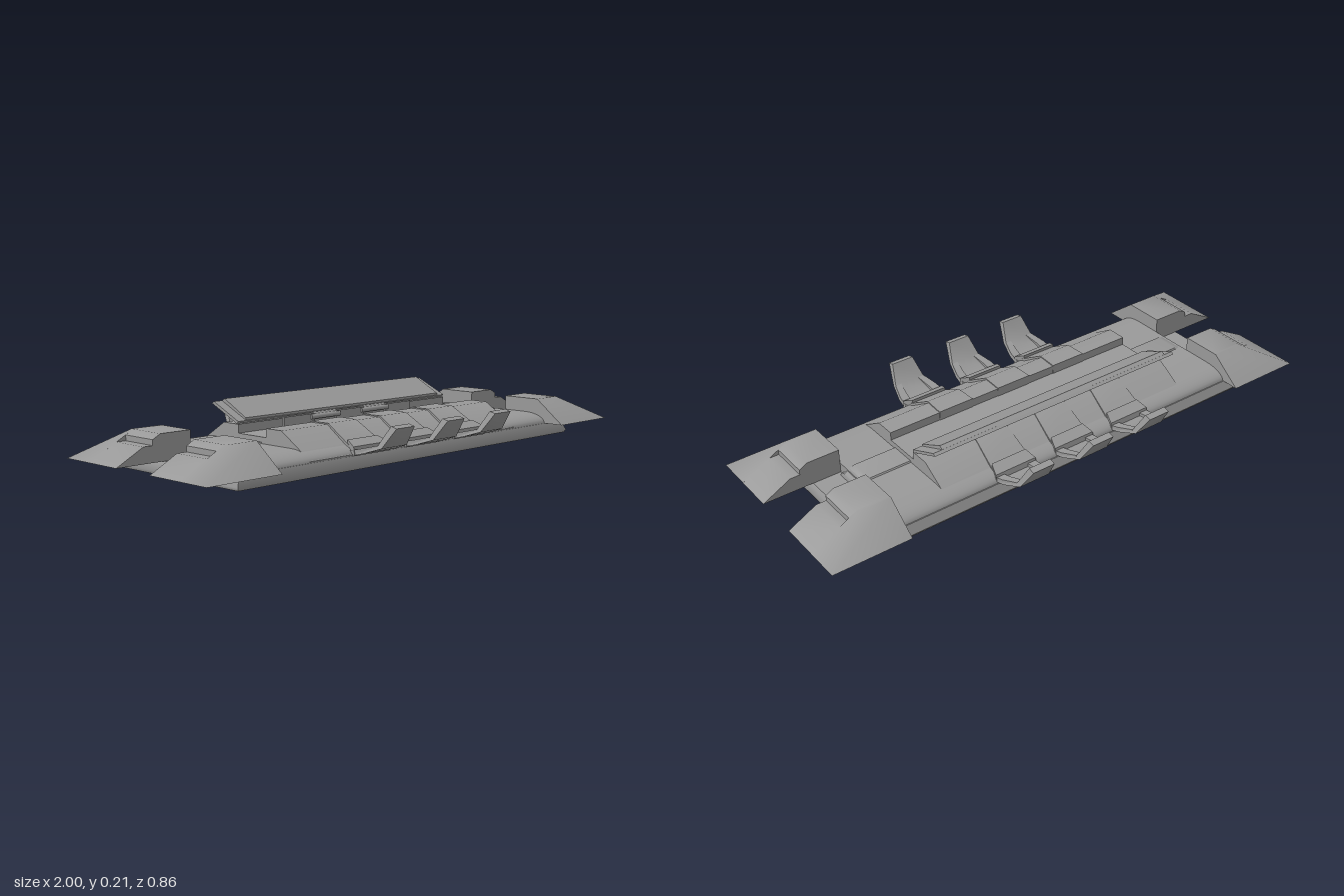
import * as THREE from 'three';
import { toCreasedNormals } from 'three/addons/utils/BufferGeometryUtils.js';

const material = new THREE.MeshStandardMaterial({ color: 0x999999 });

// Closed solid skinned over matching rings of points; winding is corrected by signed volume
function solid(name, rings) {
  const tris = [];
  const n = rings[0].length;
  for (let r = 0; r < rings.length - 1; r++) {
    for (let i = 0; i < n; i++) {
      const j = (i + 1) % n;
      const a = rings[r][i], b = rings[r][j], c = rings[r + 1][j], d = rings[r + 1][i];
      tris.push([a, b, c], [a, c, d]);
    }
  }
  const first = rings[0], last = rings[rings.length - 1];
  for (let i = 1; i < n - 1; i++) {
    tris.push([first[0], first[i + 1], first[i]], [last[0], last[i], last[i + 1]]);
  }
  let volume = 0;
  for (const [a, b, c] of tris) {
    volume += new THREE.Vector3(...a).dot(new THREE.Vector3(...b).cross(new THREE.Vector3(...c)));
  }
  const points = tris.flatMap(([a, b, c]) => (volume < 0 ? [a, c, b] : [a, b, c])).flat();
  const geometry = new THREE.BufferGeometry();
  geometry.setAttribute('position', new THREE.Float32BufferAttribute(points, 3));
  // Enlarged while creasing so that close vertices stay distinct
  geometry.scale(100, 100, 100);
  const mesh = new THREE.Mesh(toCreasedNormals(geometry, 0.92).scale(0.01, 0.01, 0.01), material);
  mesh.name = name;
  return mesh;
}

// [z, y] profile swept along x
const sweepX = (name, profile, x0, x1) =>
  solid(name, [x0, x1].map((x) => profile.map(([z, y]) => [x, y, z])));

// Stack of horizontal rectangles [y, x0, x1, z0, z1]
const stack = (name, levels) =>
  solid(name, levels.map(([y, x0, x1, z0, z1]) => [[x0, y, z0], [x1, y, z0], [x1, y, z1], [x0, y, z1]]));

// Run of cross-sections [half width, top z, top y, bottom z, bottom y] at a given x and side
const strip = (name, sections, x, place) =>
  solid(name, sections.map(([w, tz, ty, bz, by]) => [
    [x - w, ty, place(tz)], [x + w, ty, place(tz)], [x + w, by, place(bz)], [x - w, by, place(bz)],
  ]));

// Corner pod with sloping sides and a notch in its outer slope
function cornerPod(sx, sz) {
  const group = new THREE.Group();
  group.name = 'cornerPod';
  const put = (x, y, z) => [sx * x, y, sz * z];
  const notched = [[0.71, 0.045], [1, 0.045], [0.896, 0.1], [0.86, 0.1], [0.86, 0.119], [0.83, 0.135], [0.71, 0.135]];
  group.add(solid('notchedSlope', [0.085, 0.228].map((z) => notched.map(([x, y]) => put(x, y, z)))));
  group.add(solid('podEnd', [
    [put(0.71, 0.045, 0.228), put(1, 0.045, 0.228), put(1, 0.045, 0.354), put(0.71, 0.045, 0.354)],
    [put(0.71, 0.135, 0.228), put(0.83, 0.135, 0.228), put(0.83, 0.135, 0.238), put(0.71, 0.135, 0.238)],
  ]));
  return group;
}

// Rib on the body slope, foot plate and bent outrigger arm
function outrigger(x, place, lift) {
  const group = new THREE.Group();
  group.name = 'outrigger';
  group.add(strip('rib', [
    [0.07, 0.064, 0.138, 0.064, 0.05],
    [0.066, 0.145, 0.138, 0.14, 0.05],
    [0.074, 0.25, 0.077, 0.25, 0.045],
  ], x, place));
  group.add(strip('footPlate', [
    [0.07, 0.24, 0.094, 0.24, 0.046],
    [0.083, 0.28, 0.076, 0.285, 0.046],
  ], x, place));
  group.add(strip('arm', [
    [0.083, 0.26, 0.05, 0.26, 0.043],
    [0.078, 0.31, 0.062, 0.318, 0.057],
    [0.06, 0.366, 0.086, 0.382, 0.078],
    [0.043, 0.408, 0.152 + lift, 0.432, 0.146 + lift],
  ], x, place));
  // Rails framing the recess in the lower arm
  for (const s of [-1, 1]) {
    const rail = [[0.083, 0.26, 0.061, 0.045], [0.078, 0.31, 0.073, 0.056], [0.061, 0.366, 0.087, 0.075]];
    group.add(solid('armRail', rail.map(([w, z, top, low]) => [
      [x + s * w * 0.6, top, place(z)], [x + s * w, top, place(z)],
      [x + s * w, low, place(z)], [x + s * w * 0.6, low, place(z)],
    ])));
  }
  return group;
}

export function createModel() {
  const model = new THREE.Group();
  model.name = 'model';

  // Base slab with bevelled rim
  model.add(stack('base', [
    [0, -0.825, 0.825, -0.297, 0.283],
    [0.01, -0.83, 0.83, -0.303, 0.289],
    [0.045, -0.815, 0.815, -0.289, 0.276],
  ]));

  // Deck with rounded long edges
  const deck = [];
  for (let i = 0; i <= 17; i++) {
    const a = ((i % 9) / 8) * (Math.PI / 2) + (i < 9 ? 0 : Math.PI / 2);
    const side = i < 9 ? 1 : -1;
    deck.push([-0.006 + side * 0.19 + 0.09 * Math.cos(a), 0.044 + 0.038 * Math.sin(a)]);
  }
  model.add(sweepX('deck', deck, -0.71, 0.71));

  // Central trough floor
  model.add(sweepX('troughFloor', [[0.07, 0.045], [0.07, 0.104], [-0.078, 0.104], [-0.078, 0.045]], -0.52, 0.52));

  // Body walls with sloping flanks, ribs and arms, front and back
  const wall = [[0.066, 0.045], [0.066, 0.134], [0.14, 0.134], [0.275, 0.05], [0.275, 0.045]];
  for (const s of [1, -1]) {
    const place = (z) => (s > 0 ? z : -0.006 - z);
    const placeArm = (z) => s * z;
    model.add(sweepX('bodyWall', wall.map(([z, y]) => [place(z), y]), -0.52, 0.52));
    for (const x of [-0.25, 0, 0.25]) model.add(outrigger(x, placeArm, s > 0 ? 0 : 0.01));
  }

  for (const sx of [-1, 1]) {
    for (const sz of [-1, 1]) model.add(cornerPod(sx, sz));
    // Chamfered block at each end of the trough
    const block = [[0.5, 1, 0.087], [0.68, 1, 0.087], [0.705, 0.97, 0.081], [0.72, 0.93, 0.066]];
    model.add(solid('endBlock', block.map(([x, k, top]) => [
      [0.07, 0.045], [0.06, 0.06], [0.042 * k, top], [-0.053 * k, top], [-0.071, 0.06], [-0.08, 0.045],
    ].map(([z, y]) => [sx * x, y, z]))));
  }

  // Raised lid: wide plate with a narrower panel on top
  const lid = new THREE.Group();
  lid.name = 'lid';
  lid.add(sweepX('lidPlate', [[-0.072, 0.143], [-0.08, 0.135], [-0.207, 0.192], [-0.197, 0.199]], -0.52, 0.52));
  lid.add(sweepX('lidPanel', [[-0.074, 0.141], [-0.075, 0.152], [-0.183, 0.207], [-0.198, 0.198]], -0.485, 0.485));
  // Hinge knuckles and the leaves joining them to the lid
  for (const x of [-0.125, 0.125]) {
    const knuckle = new THREE.Mesh(new THREE.CylinderGeometry(0.009, 0.009, 0.14, 12).rotateZ(Math.PI / 2), material);
    knuckle.name = 'hingeKnuckle';
    knuckle.position.set(x, 0.127, -0.066);
    lid.add(knuckle);
    lid.add(sweepX('hingeLeaf', [[-0.064, 0.132], [-0.073, 0.124], [-0.086, 0.138], [-0.076, 0.145]], x - 0.06, x + 0.06));
  }
  model.add(lid);
  return model;
}
